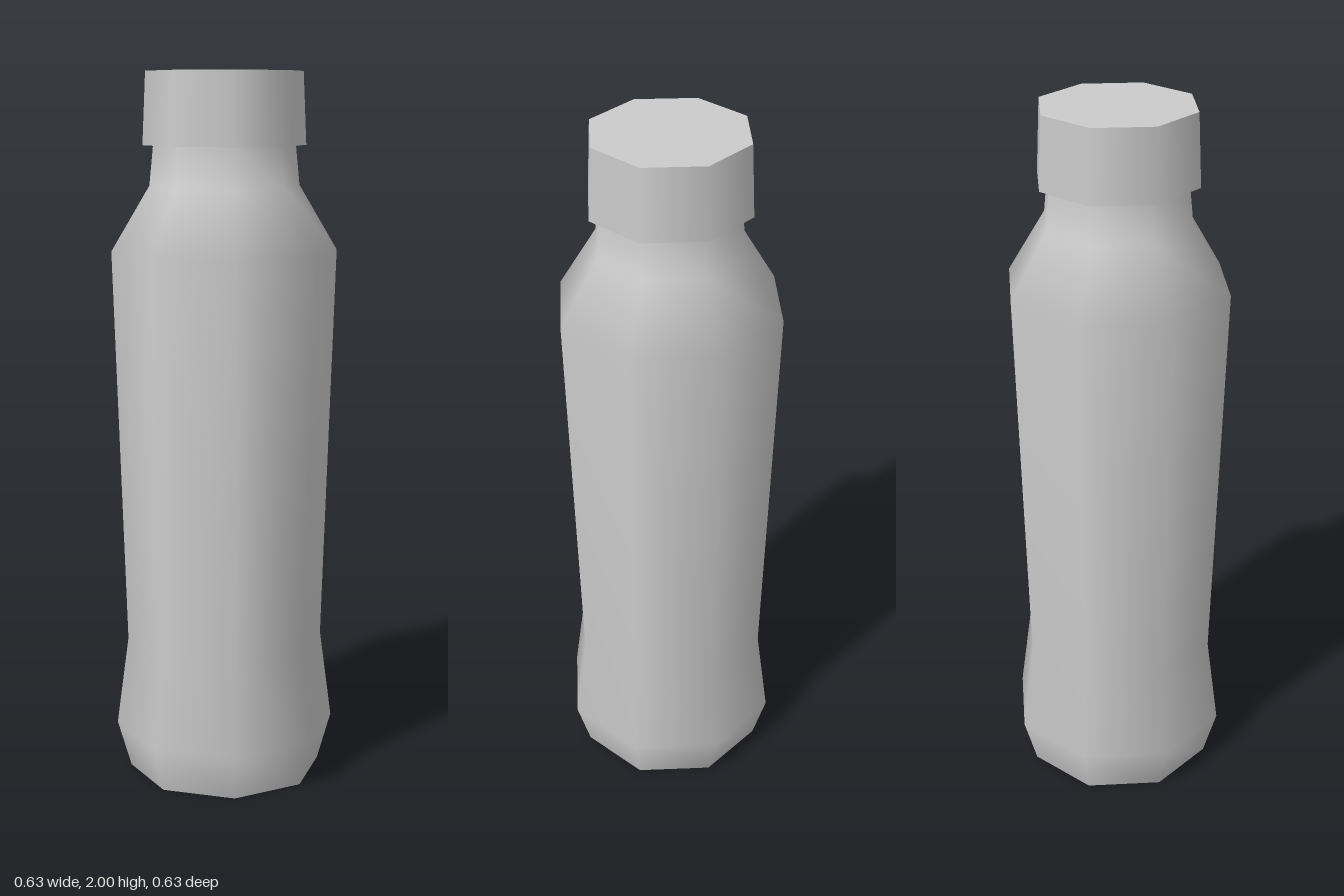
import * as THREE from 'three';

const SIDES = 8;

export function createModel() {
  const group = new THREE.Group();
  group.name = 'bottle';
  const material = new THREE.MeshStandardMaterial({ color: 0xcccccc });
  const add = (name, geometry) => {
    const mesh = new THREE.Mesh(geometry, material);
    mesh.name = name;
    group.add(mesh);
    return mesh;
  };

  // Body: flared foot, waist, shoulder and neck, with smooth octagonal sides
  const profile = [
    [0.276, 0], [0.315, 0.135], [0.281, 0.39],
    [0.316, 1.51], [0.209, 1.69], [0.197, 1.81],
  ].map(([r, y]) => new THREE.Vector2(r, y));
  add('body', new THREE.LatheGeometry(profile, SIDES));

  // Flat base, facing down
  add('base', new THREE.CircleGeometry(0.276, SIDES).rotateX(Math.PI / 2));

  // Tapered screw cap, wider than the neck
  add('cap', new THREE.CylinderGeometry(0.218, 0.227, 0.2, SIDES)).position.y = 1.9;

  return group;
}
